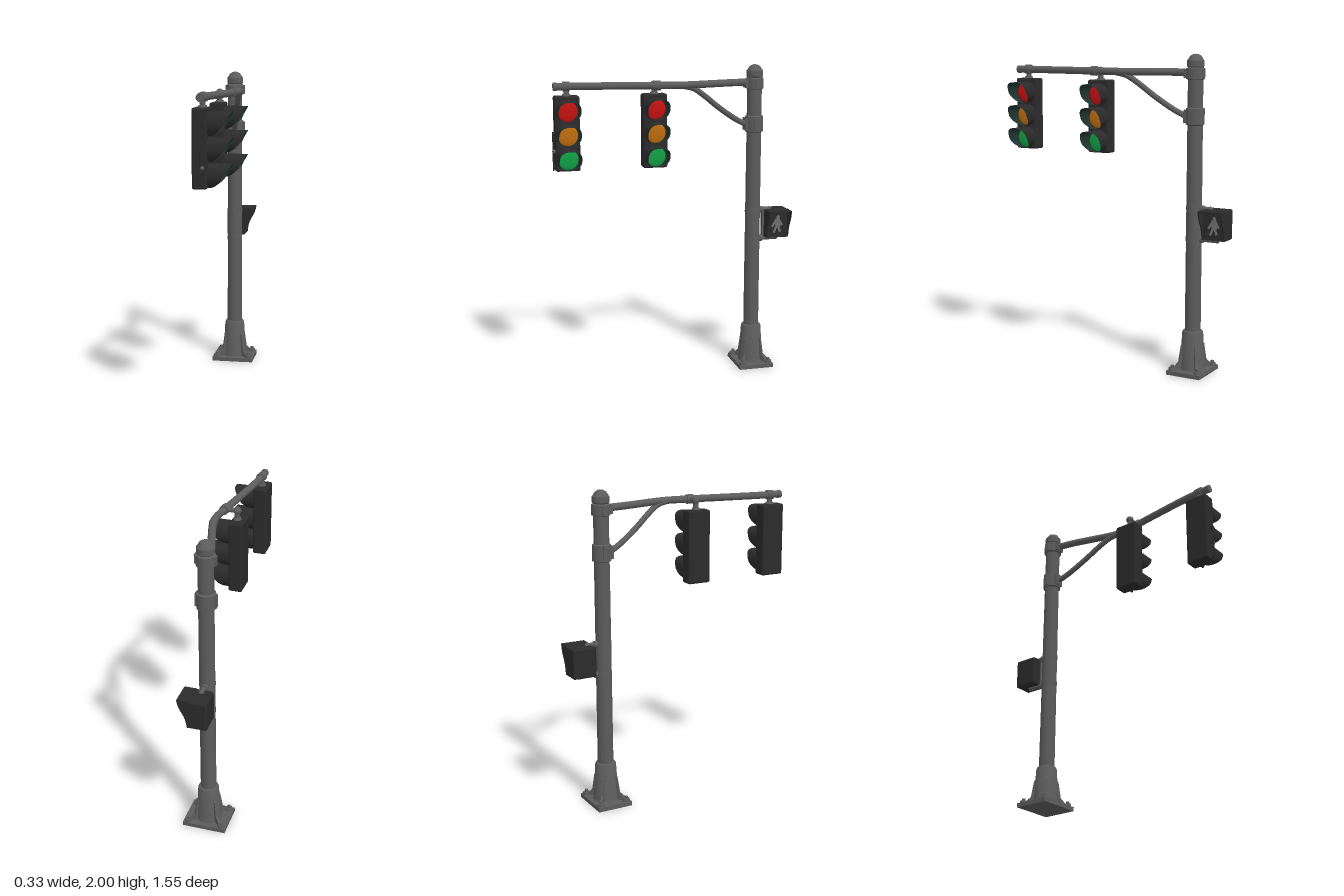
import * as THREE from 'three';
import { toCreasedNormals } from 'three/addons/utils/BufferGeometryUtils.js';
import { RoundedBoxGeometry } from 'three/addons/geometries/RoundedBoxGeometry.js';
import { ParametricGeometry } from 'three/addons/geometries/ParametricGeometry.js';

const V = (x, y, z) => new THREE.Vector3(x, y, z);

export function createModel() {
  const root = new THREE.Group();
  root.name = 'trafficSignalPole';
  const mat = (name, color, side = THREE.FrontSide) => {
    const m = new THREE.MeshStandardMaterial({ color, side });
    m.name = name;
    return m;
  };
  const steel = mat('steelGrey', 0x5c5c5c);
  const black = mat('housingBlack', 0x2b2b2b, THREE.DoubleSide);
  const hoodInner = mat('hoodLining', 0x1f3631, THREE.DoubleSide);
  const red = mat('redLens', 0xc41212);
  const amber = mat('amberLens', 0xbd6d0e);
  const green = mat('greenLens', 0x10a045);
  const iconGrey = mat('iconGrey', 0x707070, THREE.DoubleSide);

  const add = (parent, name, geo, material, x = 0, y = 0, z = 0) => {
    const m = new THREE.Mesh(geo, material);
    m.name = name;
    m.position.set(x, y, z);
    parent.add(m);
    return m;
  };
  // Cylinder between two points
  const rod = (parent, name, a, b, r, material = steel, sides = 16) => {
    const d = b.clone().sub(a);
    const m = add(parent, name, new THREE.CylinderGeometry(r, r, d.length(), sides), material);
    m.position.copy(a).addScaledVector(d, 0.5);
    m.quaternion.setFromUnitVectors(V(0, 1, 0), d.normalize());
    return m;
  };
  const lathe = (pts) => toCreasedNormals(
    new THREE.LatheGeometry(pts.map(([r, y]) => new THREE.Vector2(r, y)), 28), 0.5);

  // ---- Pole with base shoe and cap ----
  const pole = new THREE.Group();
  pole.name = 'pole';
  pole.position.set(-0.025, 0, -0.54);
  root.add(pole);
  add(pole, 'basePlate', new THREE.BoxGeometry(0.28, 0.026, 0.23), steel, 0, 0.013, 0);
  add(pole, 'baseShoe', lathe([[0.084, 0.026], [0.078, 0.05], [0.066, 0.26], [0.06, 0.272], [0.046, 0.275]]), steel);
  add(pole, 'shaft', lathe([[0.05, 0.27], [0.047, 1.92]]), steel);
  add(pole, 'cap', lathe([[0.046, 1.915], [0.053, 1.925], [0.053, 1.96], [0.046, 1.968], [0.034, 1.988], [0.016, 1.998], [0, 2]]), steel);

  // Gussets and anchor bolts at the plate corners
  const rib = new THREE.Shape([[0.06, 0.026], [0.132, 0.026], [0.126, 0.042], [0.095, 0.075], [0.078, 0.18], [0.06, 0.2]]
    .map(([x, y]) => new THREE.Vector2(x, y)));
  const ribGeo = new THREE.ExtrudeGeometry(rib, { depth: 0.014, bevelEnabled: false }).translate(0, 0, -0.007);
  for (const sx of [-1, 1]) for (const sz of [-1, 1]) {
    add(pole, 'gusset', ribGeo, steel).rotation.y = Math.atan2(-sz * 0.088, sx * 0.105);
    add(pole, 'anchorNut', new THREE.CylinderGeometry(0.022, 0.024, 0.018, 12), steel, sx * 0.11, 0.034, sz * 0.088);
    add(pole, 'anchorBolt', new THREE.CylinderGeometry(0.011, 0.011, 0.02, 10), steel, sx * 0.11, 0.048, sz * 0.088);
  }

  // Clamp collars with side bolts
  for (const [y, h] of [[1.88, 0.076], [1.62, 0.11]]) {
    const t = h / 2;
    add(pole, 'collar', lathe([[0.046, y - t], [0.058, y - t + 0.006], [0.058, y + t - 0.006], [0.046, y + t]]), steel);
    add(pole, 'collarSocket', new THREE.BoxGeometry(0.06, h * 0.72, 0.03), steel, 0, y, 0.052);
    for (const s of [-1, 1]) {
      add(pole, 'collarEar', new THREE.BoxGeometry(0.022, h * 0.75, 0.03), steel, s * 0.054, y, 0);
    }
  }

  // ---- Bent mast arm and brace ----
  const tube = (name, pts, r) => add(root, name,
    new THREE.TubeGeometry(new THREE.CatmullRomCurve3(pts.map((p) => V(...p))), 48, r, 16), steel);
  const armY = 1.888;
  tube('mastArm', [[-0.025, armY, -0.5], [0.0, armY, -0.37], [0.03, armY, -0.26], [0.072, armY, -0.11], [0.083, armY, -0.04],
    [0.078, armY, 0.05], [0.043, armY, 0.27], [0.004, armY, 0.53], [-0.008, armY, 0.64], [-0.012, armY, 0.75]], 0.023);
  rod(root, 'armEndCap', V(-0.012, armY, 0.735), V(-0.012, armY, 0.758), 0.025);
  tube('brace', [[-0.022, 1.615, -0.49], [-0.005, 1.655, -0.41], [0.022, 1.735, -0.29],
    [0.05, 1.82, -0.18], [0.068, 1.865, -0.11], [0.08, 1.884, -0.03]], 0.018);

  // ---- Signal heads ----
  // Hood: squarish tunnel with a swept lower edge
  const hoodGeo = (r, len) => new ParametricGeometry((u, v, p) => {
    const a = (u * 2 - 1) * Math.PI;
    const c = Math.cos(a), s = Math.sin(a);
    const k = c > 0 ? 0.75 : 1;
    p.set(v * len * Math.pow((c + 1) / 2, 0.5), Math.sign(c) * Math.pow(Math.abs(c), k) * r,
      Math.sign(s) * Math.pow(Math.abs(s), k) * r);
  }, 40, 5);
  const outerHood = hoodGeo(0.071, 0.14), innerHood = hoodGeo(0.068, 0.139);
  const lensGeo = new THREE.SphereGeometry(0.064, 28, 8, 0, Math.PI * 2, 0, Math.PI / 2)
    .scale(1, 0.16, 1).rotateZ(-Math.PI / 2);

  const signal = (z, armX) => {
    const g = new THREE.Group();
    g.name = 'signalHead';
    g.position.set(0, 0, z);
    root.add(g);
    add(g, 'housing', new RoundedBoxGeometry(0.088, 0.465, 0.155, 3, 0.012), black, -0.02, 1.598, 0);
    [[red, 1.737], [amber, 1.588], [green, 1.439]].forEach(([m, y]) => {
      add(g, 'lens', lensGeo, m, 0.024, y, 0);
      add(g, 'hood', outerHood, black, 0.022, y, 0);
      add(g, 'hoodLining', innerHood, hoodInner, 0.022, y, 0);
    });
    // Hanger
    rod(g, 'hangerStem', V(-0.012, 1.82, 0), V(-0.012, armY, 0), 0.017);
    add(g, 'hangerFlange', new THREE.CylinderGeometry(0.024, 0.028, 0.014, 16), steel, -0.012, 1.835, 0);
    add(g, 'hangerKnuckle', new THREE.SphereGeometry(0.025, 16, 12), steel, -0.012, armY, 0);
    rod(g, 'hangerLink', V(-0.012, armY, 0), V(armX, armY, 0), 0.015);
    rod(g, 'armClamp', V(armX + 0.003, armY, -0.022), V(armX - 0.003, armY, 0.022), 0.03);
    return g;
  };
  signal(0.123, 0.067);
  const outer = signal(0.677, -0.011);

  // Thin conduit and latch on the outer head
  rod(outer, 'sideConduit', V(-0.008, 1.37, 0.088), V(-0.008, 1.61, 0.088), 0.005, black, 8);
  for (const y of [1.39, 1.49, 1.6]) {
    rod(outer, 'conduitClip', V(-0.008, y, 0.07), V(-0.008, y, 0.092), 0.011, black, 10);
  }
  add(outer, 'latchKnob', new THREE.SphereGeometry(0.014, 12, 8), steel, -0.002, 1.49, 0.082);

  // ---- Pedestrian signal behind the pole ----
  const ped = new THREE.Group();
  ped.name = 'pedestrianSignal';
  ped.position.set(0, 0.96, -0.695);
  root.add(ped);
  add(ped, 'pedestrianHousing', new RoundedBoxGeometry(0.115, 0.19, 0.155, 3, 0.012), black, -0.036, 0, 0);
  const cheek = new THREE.Shape();
  cheek.moveTo(0.015, -0.09);
  cheek.lineTo(0.03, -0.085);
  cheek.quadraticCurveTo(0.038, -0.02, 0.068, 0.02);
  cheek.quadraticCurveTo(0.085, 0.05, 0.092, 0.092);
  cheek.lineTo(0.015, 0.092);
  const cheekGeo = new THREE.ExtrudeGeometry(cheek, { depth: 0.007, bevelEnabled: false, curveSegments: 8 });
  for (const z of [-0.077, 0.07]) add(ped, 'hoodCheek', cheekGeo, black, 0, 0, z);
  add(ped, 'hoodTop', new THREE.BoxGeometry(0.077, 0.007, 0.152), black, 0.0535, 0.091, 0);
  add(ped, 'hoodSill', new THREE.BoxGeometry(0.016, 0.008, 0.152), black, 0.023, -0.087, 0);

  // Walking figure as thin plates
  const plate = (w, h, y, z, tilt) => {
    add(ped, 'walkingFigure', new THREE.BoxGeometry(0.003, h, w), iconGrey, 0.0225, y, z).rotation.x = tilt;
  };
  add(ped, 'figureHead', new THREE.CircleGeometry(0.012, 16).rotateY(Math.PI / 2), iconGrey, 0.024, 0.044, -0.006);
  plate(0.034, 0.056, 0.006, -0.004, 0.1);
  plate(0.014, 0.05, 0.0, 0.022, -0.55);
  plate(0.012, 0.04, 0.004, -0.026, 0.5);
  plate(0.015, 0.05, -0.038, 0.013, -0.4);
  plate(0.015, 0.045, -0.036, -0.014, 0.35);

  // Brackets from the pole
  for (const [y, end] of [[1.052, -0.65], [0.86, -0.7]]) {
    add(pole, 'bracketBand', new THREE.CylinderGeometry(0.051, 0.051, 0.026, 28), steel, 0, y, 0);
    rod(root, 'bracketArm', V(-0.025, y, -0.58), V(-0.025, y, end), 0.015);
    rod(root, 'bracketNut', V(-0.025, y, -0.585), V(-0.025, y, -0.605), 0.022);
  }
  add(root, 'bracketElbow', new THREE.SphereGeometry(0.016, 14, 10), steel, -0.025, 0.86, -0.7);
  add(root, 'bracketElbow', new THREE.SphereGeometry(0.018, 14, 10), steel, -0.025, 1.052, -0.65);
  rod(root, 'bracketUpright', V(-0.025, 0.86, -0.612), V(-0.025, 1.052, -0.612), 0.009);
  return root;
}
